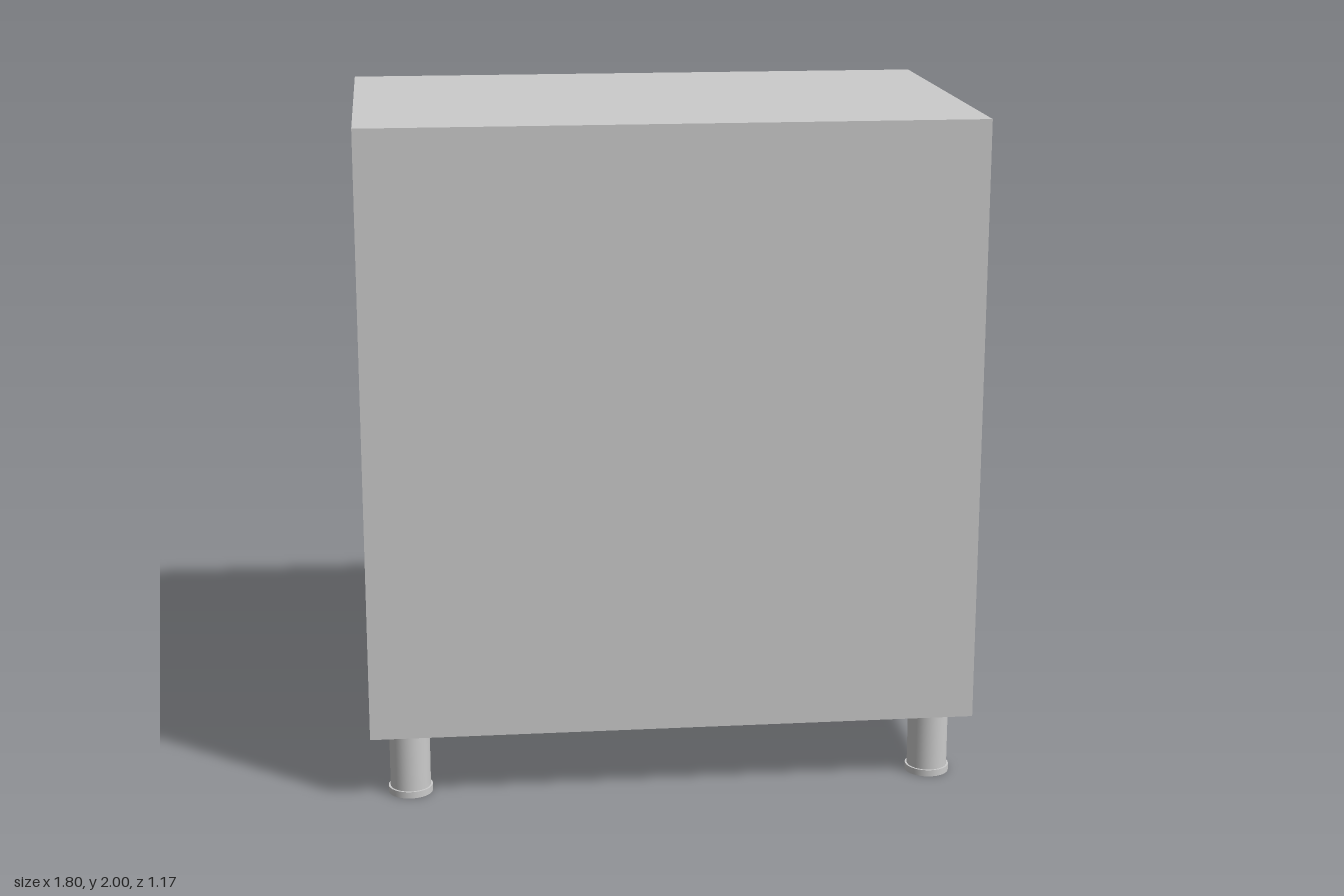
import * as THREE from 'three';

const W = 1.8, D = 1.174, BASE = 0.2, TOP = 2;
const SIDE = 0.067, SLAB = 0.096, PANEL = 0.025;

export function createModel() {
  const model = new THREE.Group();
  model.name = 'cabinet';
  const material = new THREE.MeshStandardMaterial({ color: 0xcccccc });

  const add = (name, geometry, x, y, z, parent = model) => {
    const mesh = new THREE.Mesh(geometry, material);
    mesh.name = name;
    mesh.position.set(x, y, z);
    parent.add(mesh);
    return mesh;
  };

  // Carcass: a rectangular frame open through to the back
  const h = TOP - BASE;
  const frame = new THREE.Shape([
    new THREE.Vector2(-W / 2, BASE), new THREE.Vector2(W / 2, BASE),
    new THREE.Vector2(W / 2, TOP), new THREE.Vector2(-W / 2, TOP),
  ]);
  const ix = W / 2 - SIDE;
  frame.holes.push(new THREE.Path([
    new THREE.Vector2(-ix, BASE + SLAB), new THREE.Vector2(-ix, TOP - SLAB),
    new THREE.Vector2(ix, TOP - SLAB), new THREE.Vector2(ix, BASE + SLAB),
  ]));
  add('carcass', new THREE.ExtrudeGeometry(frame, { depth: D - PANEL, bevelEnabled: false }), 0, 0, -D / 2);

  // Thin panel closing the front
  add('frontPanel', new THREE.BoxGeometry(W, h, PANEL), 0, BASE + h / 2, D / 2 - PANEL / 2);

  // Shelf, set in slightly from the open side
  const inset = 0.036, shelfDepth = D - PANEL - inset;
  add('shelf', new THREE.BoxGeometry(ix * 2, 0.06, shelfDepth), 0, 1.185, -D / 2 + inset + shelfDepth / 2);

  // Four round legs, each on a slightly wider foot
  const post = new THREE.CylinderGeometry(0.06, 0.06, 0.18, 32);
  const foot = new THREE.CylinderGeometry(0.066, 0.066, 0.02, 32);
  for (const sx of [-1, 1]) {
    for (const sz of [-1, 1]) {
      const leg = new THREE.Group();
      leg.name = (sz > 0 ? 'front' : 'back') + (sx > 0 ? 'Left' : 'Right') + 'Leg';
      leg.position.set(sx * 0.784, 0, sz * 0.497);
      add('legPost', post, 0, 0.11, 0, leg);
      add('legFoot', foot, 0, 0.01, 0, leg);
      model.add(leg);
    }
  }
  return model;
}
